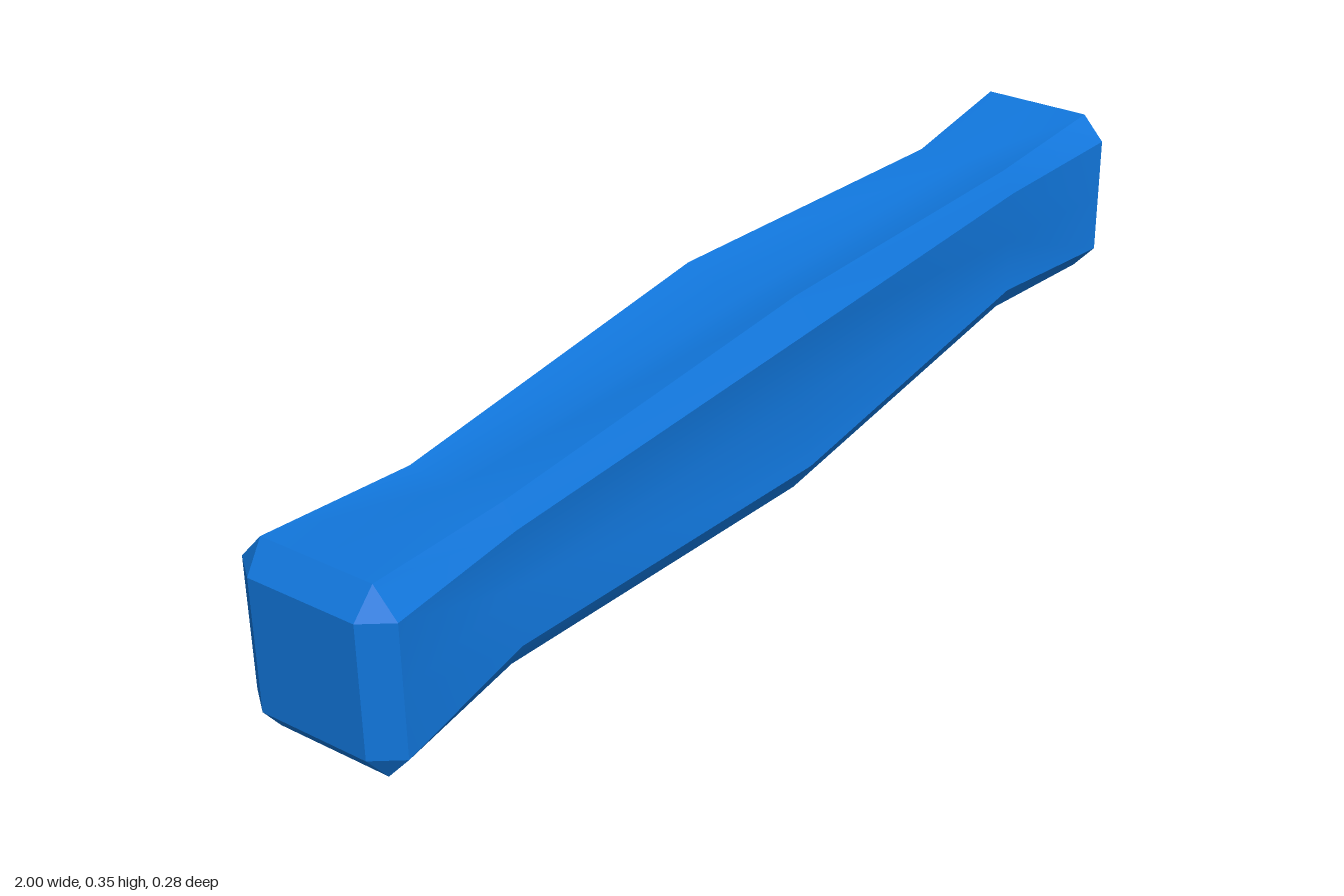
import * as THREE from 'three';
import { ConvexGeometry } from 'three/addons/geometries/ConvexGeometry.js';

const MID = 0.174; // height of the long axis

// Stations along x: half height H, half width W, half side-face height h,
// half top-face width w, and how far the face centres sink (top, side)
const end = { H: 0.154, W: 0.14, h: 0.109, w: 0.1, dipY: 0, dipZ: 0 };
const neck = { H: 0.135, W: 0.107, h: 0.096, w: 0.085, dipY: 0.004, dipZ: 0.004 };
const middle = { H: 0.174, W: 0.137, h: 0.124, w: 0.104, dipY: 0.032, dipZ: 0.025 };
const stations = [
  { x: -0.965, ...end }, { x: -0.69, ...neck }, { x: 0, ...middle },
  { x: 0.69, ...neck }, { x: 0.965, ...end },
];

// The eight faces of the section as runs of [y, z], in order around the axis
function sectionFaces({ H, W, h, w, dipY, dipZ }) {
  const half = [
    [[H, w], [H - dipY, 0], [H, -w]],
    [[H, -w], [h, -W]],
    [[h, -W], [0, -W + dipZ], [-h, -W]],
    [[-h, -W], [-H, -w]],
  ];
  return [...half, ...half.map((face) => face.map(([y, z]) => [-y, -z]))];
}

// One lengthwise face, smooth inside and creased at its borders
function strip(faceIndex) {
  const pos = [], index = [];
  let cols = 0;
  for (const s of stations) {
    const run = sectionFaces(s)[faceIndex];
    cols = run.length;
    for (const [y, z] of run) pos.push(s.x, MID + y, z);
  }
  for (let i = 0; i < stations.length - 1; i++) {
    for (let j = 0; j < cols - 1; j++) {
      const a = i * cols + j, b = a + cols;
      index.push(a, b, a + 1, b, b + 1, a + 1);
    }
  }
  const geo = new THREE.BufferGeometry();
  geo.setAttribute('position', new THREE.Float32BufferAttribute(pos, 3));
  geo.setIndex(index);
  geo.computeVertexNormals();
  return geo;
}

// Bevelled block closing one end
function endCap(side) {
  const pts = [];
  for (const sy of [-1, 1]) for (const sz of [-1, 1]) {
    pts.push(
      new THREE.Vector3(side, MID + sy * end.h, sz * 0.095),
      new THREE.Vector3(side * 0.965, MID + sy * end.h, sz * end.W),
      new THREE.Vector3(side * 0.965, MID + sy * end.H, sz * end.w),
    );
  }
  return new ConvexGeometry(pts);
}

export function createModel() {
  const group = new THREE.Group();
  group.name = 'handle';
  const smooth = new THREE.MeshStandardMaterial({ color: 0x1177dd });
  const flat = new THREE.MeshStandardMaterial({ color: 0x1177dd, flatShading: true });

  const grip = new THREE.Group();
  grip.name = 'grip';
  const names = ['top', 'upperBackChamfer', 'back', 'lowerBackChamfer',
    'bottom', 'lowerFrontChamfer', 'front', 'upperFrontChamfer'];
  names.forEach((name, i) => {
    const mesh = new THREE.Mesh(strip(i), smooth);
    mesh.name = name;
    grip.add(mesh);
  });
  group.add(grip);

  for (const side of [-1, 1]) {
    const cap = new THREE.Mesh(endCap(side), flat);
    cap.name = side > 0 ? 'leftEndCap' : 'rightEndCap';
    group.add(cap);
  }
  return group;
}
